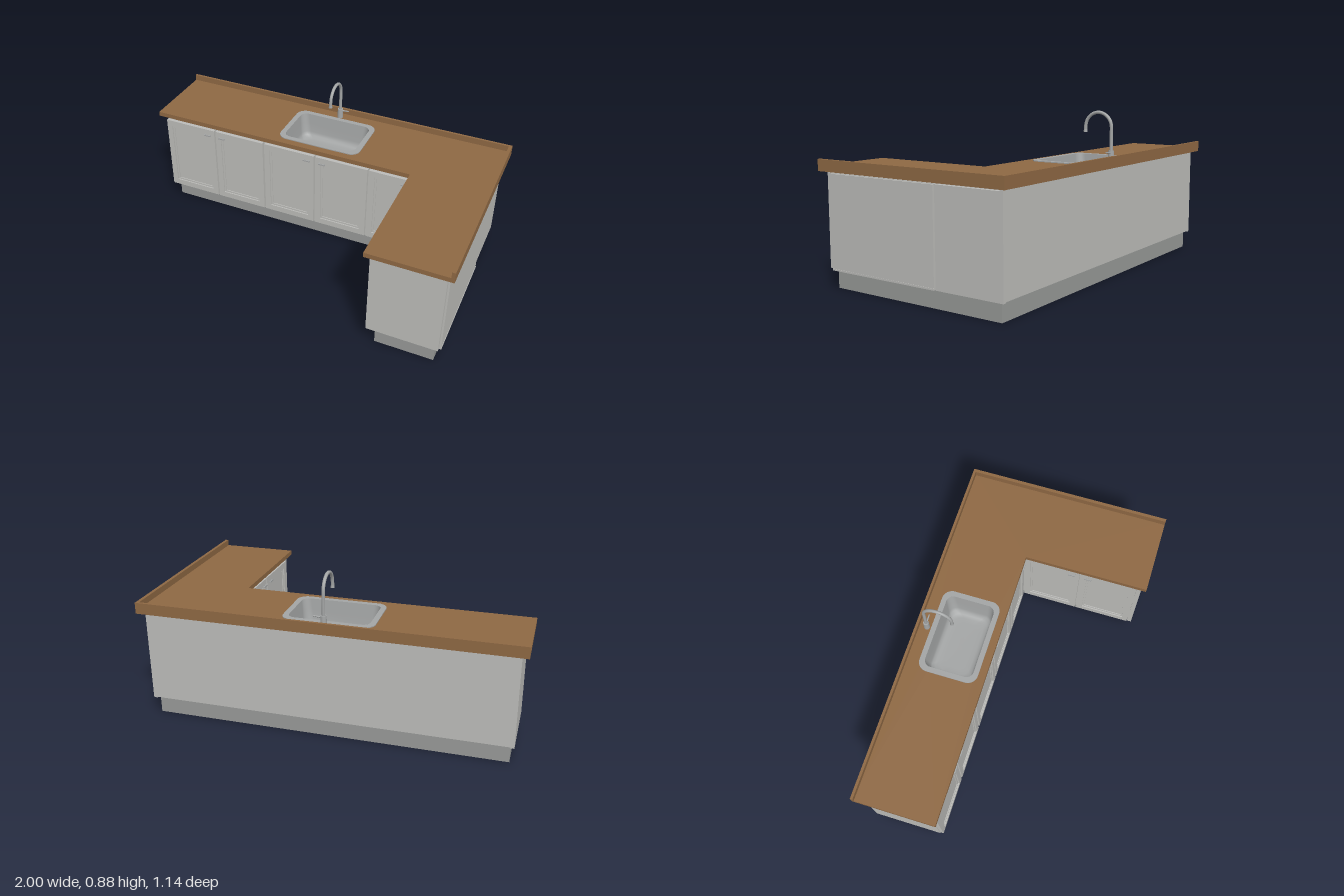
import * as THREE from 'three';

const mat = (name, color, side = THREE.FrontSide) => {
  const m = new THREE.MeshStandardMaterial({ color, side });
  m.name = name;
  return m;
};

// Rounded rectangle outline centred on (cx, cy)
function roundedRect(Type, w, h, r, cx = 0, cy = 0) {
  const s = new Type();
  const x = w / 2 - r, y = h / 2 - r, q = Math.PI / 2;
  s.absarc(cx + x, cy - y, r, -q, 0);
  s.absarc(cx + x, cy + y, r, 0, q);
  s.absarc(cx - x, cy + y, r, q, 2 * q);
  s.absarc(cx - x, cy - y, r, 2 * q, 3 * q);
  s.closePath();
  return s;
}

// Flat rectangular frame with a rectangular opening, extruded along z
function frameGeometry(w, h, iw, ih, depth) {
  const rect = (T, a, b) => new T([[-a, -b], [a, -b], [a, b], [-a, b]]
    .map(([x, y]) => new THREE.Vector2(x / 2, y / 2)));
  const s = rect(THREE.Shape, w, h);
  s.holes.push(rect(THREE.Path, iw, ih));
  return new THREE.ExtrudeGeometry(s, { depth, bevelEnabled: false });
}

export function createModel() {
  const wood = mat('wood', 0x8e6843);
  const paint = mat('cabinet grey', 0xbcbcb9);
  const base = mat('plinth grey', 0x979997);
  const steel = mat('steel', 0xa3a5a5, THREE.DoubleSide);

  const model = new THREE.Group();
  model.name = 'kitchenCounter';

  const add = (name, geo, material, parent = model) => {
    const m = new THREE.Mesh(geo, material);
    m.name = name;
    parent.add(m);
    return m;
  };
  // Box given by its lower and upper corners
  const box = (name, material, x0, x1, y0, y1, z0, z1, parent = model) => {
    const m = add(name, new THREE.BoxGeometry(x1 - x0, y1 - y0, z1 - z0), material, parent);
    m.position.set((x0 + x1) / 2, (y0 + y1) / 2, (z0 + z1) / 2);
    return m;
  };

  // Plinth
  box('plinthMain', base, -0.945, 0.94, 0, 0.096, -0.51, -0.19);
  box('plinthWing', base, 0.625, 0.94, 0, 0.096, -0.19, 0.51);

  // Main cabinet: open-topped shell around the sink
  const main = new THREE.Group();
  main.name = 'mainCabinet';
  model.add(main);
  box('floor', paint, -0.945, 0.945, 0.095, 0.11, -0.52, -0.165, main);
  box('leftSide', paint, -0.965, -0.945, 0.095, 0.582, -0.535, -0.16, main);
  box('rightSide', paint, 0.945, 0.965, 0.095, 0.582, -0.535, -0.157, main);
  box('back', paint, -0.965, 0.965, 0.1, 0.59, -0.536, -0.52, main);
  box('front', paint, -0.945, 0.62, 0.095, 0.59, -0.175, -0.16, main);

  // Wing cabinet with side and end panels
  const wing = new THREE.Group();
  wing.name = 'wingCabinet';
  model.add(wing);
  box('body', paint, 0.597, 0.96, 0.096, 0.585, -0.16, 0.515, wing);
  box('sidePanel', paint, 0.96, 0.972, 0.105, 0.582, -0.15, 0.515, wing);
  box('sideSill', paint, 0.96, 0.974, 0.096, 0.105, -0.15, 0.515, wing);
  box('endPanel', paint, 0.583, 0.963, 0.104, 0.587, 0.515, 0.54, wing);

  // Framed door with a stepped moulding, recessed panel and bar handle
  const makeDoor = (name, w, handleSide) => {
    const g = new THREE.Group();
    g.name = name;
    const h = 0.46, iw = w - 0.066, ih = 0.39;
    add('frame', frameGeometry(w, h, iw, ih, 0.02), paint, g);
    add('moulding', frameGeometry(iw, ih, iw - 0.022, ih - 0.022, 0.013), paint, g);
    box('panel', paint, -iw / 2, iw / 2, -ih / 2, ih / 2, 0, 0.008, g);
    const hx = handleSide * (w / 2 - 0.042);
    box('handleBar', steel, hx - 0.02, hx + 0.02, 0.193, 0.2, 0.028, 0.034, g);
    for (const s of [-1, 1])
      box('handlePost', steel, hx + s * 0.015 - 0.003, hx + s * 0.015 + 0.003, 0.193, 0.2, 0.018, 0.03, g);
    model.add(g);
    return g;
  };
  [[-0.962, -0.642, 1], [-0.632, -0.326, -1], [-0.315, -0.005, 1], [0.005, 0.315, -1], [0.325, 0.573, 1]]
    .forEach(([x0, x1, side], i) => {
      makeDoor('frontDoor' + (i + 1), x1 - x0, side).position.set((x0 + x1) / 2, 0.337, -0.16);
    });
  [[-0.135, 0.185, 1], [0.195, 0.513, -1]].forEach(([z0, z1, side], i) => {
    const d = makeDoor('wingDoor' + (i + 1), z1 - z0, side);
    d.rotation.y = -Math.PI / 2;
    d.position.set(0.597, 0.337, (z0 + z1) / 2);
  });

  // L-shaped worktop with a cut-out for the sink (shape y is -z)
  const sinkX = -0.002, sinkZ = -0.328;
  const top = new THREE.Shape([[-1, 0.125], [0.558, 0.125], [0.558, -0.567], [1, -0.567], [1, 0.57], [-1, 0.57]]
    .map(([x, y]) => new THREE.Vector2(x, y)));
  top.holes.push(roundedRect(THREE.Path, 0.44, 0.285, 0.045, sinkX, -sinkZ));
  const topMesh = add('worktop', new THREE.ExtrudeGeometry(top, { depth: 0.026, bevelEnabled: false, curveSegments: 8 }), wood);
  topMesh.rotation.x = -Math.PI / 2;
  topMesh.position.y = 0.594;
  box('backUpstand', wood, -1, 1, 0.62, 0.654, -0.57, -0.556);
  box('sideUpstand', wood, 0.982, 1, 0.62, 0.654, -0.556, 0.567);

  // Sink rim and bowl
  const sink = new THREE.Group();
  sink.name = 'sink';
  sink.position.set(sinkX, 0.62, sinkZ);
  model.add(sink);
  const rim = roundedRect(THREE.Shape, 0.484, 0.326, 0.055);
  rim.holes.push(roundedRect(THREE.Path, 0.426, 0.27, 0.04));
  add('rim', new THREE.ExtrudeGeometry(rim, { depth: 0.005, bevelEnabled: false, curveSegments: 8 }), steel, sink)
    .rotation.x = -Math.PI / 2;

  // Bowl rings: inset from the rim opening, height, corner radius
  const rings = [[0, 0.005, 0.04], [0.006, -0.05, 0.042], [0.012, -0.105, 0.045], [0.018, -0.124, 0.045],
    [0.032, -0.136, 0.045], [0.05, -0.14, 0.045], [0.08, -0.141, 0.04]];
  const pos = [], idx = [];
  const K = 7, N = 4 * K;
  for (const [inset, y, r] of rings)
    for (let j = 0; j < N; j++) {
      const corner = Math.floor(j / K);
      const a = (corner - 1 + (j % K) / (K - 1)) * Math.PI / 2;
      const sx = corner < 2 ? 1 : -1, sy = corner === 1 || corner === 2 ? 1 : -1;
      pos.push(sx * (0.213 - inset - r) + r * Math.cos(a), y, -(sy * (0.135 - inset - r) + r * Math.sin(a)));
    }
  for (let i = 0; i < rings.length - 1; i++)
    for (let j = 0; j < N; j++) {
      const a = i * N + j, b = i * N + (j + 1) % N;
      idx.push(a, b, a + N, b, b + N, a + N);
    }
  const last = (rings.length - 1) * N;
  pos.push(0, -0.142, 0);
  for (let j = 0; j < N; j++) idx.push(last + j, last + (j + 1) % N, last + N);
  const bowl = new THREE.BufferGeometry();
  bowl.setAttribute('position', new THREE.Float32BufferAttribute(pos, 3));
  bowl.setIndex(idx);
  bowl.computeVertexNormals();
  add('bowl', bowl, steel, sink);

  // Swan-neck tap
  const tap = new THREE.Group();
  tap.name = 'tap';
  tap.position.set(0, 0.62, -0.515);
  model.add(tap);
  add('tapBase', new THREE.CylinderGeometry(0.015, 0.017, 0.055, 20), steel, tap).position.y = 0.0275;
  const R = 0.0765, path = new THREE.CurvePath();
  const V = (y, z) => new THREE.Vector3(0, y, z);
  const pts = [V(0.05, 0), V(0.1, 0), V(0.15, 0)];
  for (let i = 0; i <= 12; i++) {
    const a = Math.PI * (1 - i / 12);
    pts.push(V(0.172 + R * Math.sin(a), R + R * Math.cos(a)));
  }
  pts.push(V(0.15, 2 * R + 0.001));
  add('tapNeck', new THREE.TubeGeometry(new THREE.CatmullRomCurve3(pts), 56, 0.0088, 12), steel, tap);
  add('tapNozzle', new THREE.CylinderGeometry(0.009, 0.0105, 0.014, 16), steel, tap).position.set(0, 0.152, 2 * R + 0.001);
  const lever = add('tapLever', new THREE.CylinderGeometry(0.0035, 0.005, 0.045, 10), steel, tap);
  lever.rotation.z = -Math.PI / 2 + 0.1;
  lever.position.set(0.03, 0.046, 0);
  return model;
}
